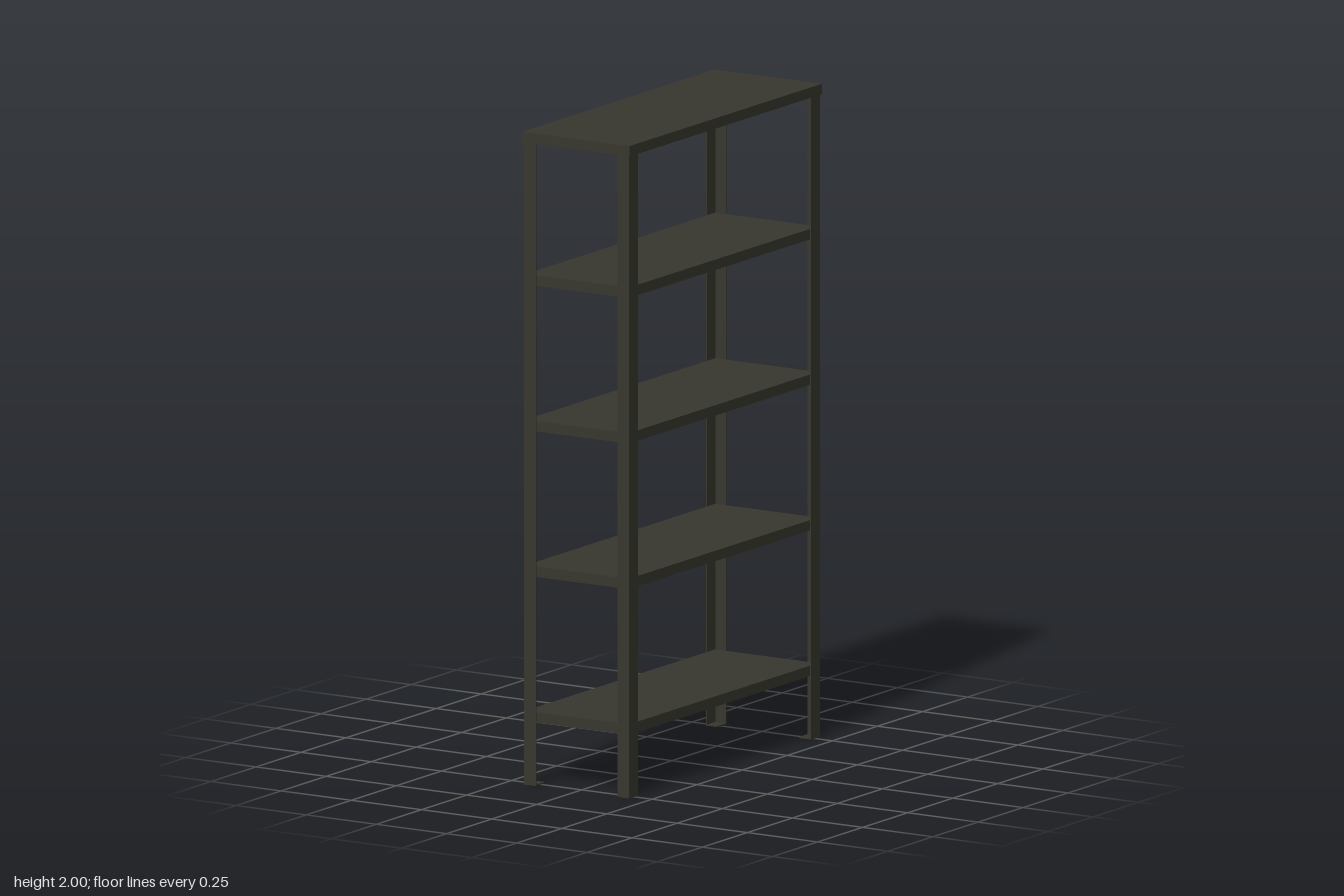
import * as THREE from 'three';

const HX = 0.187, HZ = 0.529; // outer half extents of the posts
const T = 0.004; // sheet thickness
const LEG_X = 0.042, LEG_Z = 0.05; // flange widths of the angle posts

export function createModel() {
  const model = new THREE.Group();
  model.name = 'shelvingUnit';
  const steel = new THREE.MeshStandardMaterial({ color: 0x38372e });
  steel.name = 'dark grey steel';

  const box = (parent, name, w, h, d, x, y, z) => {
    const mesh = new THREE.Mesh(new THREE.BoxGeometry(w, h, d), steel);
    mesh.name = name;
    mesh.position.set(x, y, z);
    parent.add(mesh);
  };

  // Angle-iron corner posts with thin foot plates
  const postTop = 1.994;
  for (const sx of [-1, 1]) {
    for (const sz of [-1, 1]) {
      const post = new THREE.Group();
      post.name = `${sz > 0 ? 'front' : 'back'}${sx > 0 ? 'Left' : 'Right'}Post`;
      box(post, 'endFlange', LEG_X, postTop, T, sx * (HX - LEG_X / 2), postTop / 2, sz * (HZ - T / 2));
      box(post, 'sideFlange', T, postTop, LEG_Z - T, sx * (HX - T / 2), postTop / 2, sz * (HZ - T - (LEG_Z - T) / 2));
      box(post, 'footPlate', LEG_X - T, T, LEG_Z - T,
        sx * (HX - T - (LEG_X - T) / 2), T / 2, sz * (HZ - T - (LEG_Z - T) / 2));
      model.add(post);
    }
  }

  // Shelf pan: a flat sheet with a lip folded down on all four edges
  const addShelf = (name, hx, hz, top, lip) => {
    const shelf = new THREE.Group();
    shelf.name = name;
    box(shelf, 'sheet', 2 * hx, T, 2 * hz, 0, top - T / 2, 0);
    const h = lip - T, y = top - T - h / 2;
    for (const s of [-1, 1]) {
      box(shelf, 'sideLip', T, h, 2 * hz, s * (hx - T / 2), y, 0);
      box(shelf, 'endLip', 2 * (hx - T), h, T, 0, y, s * (hz - T / 2));
    }
    model.add(shelf);
  };

  // Four shelves held inside the posts, and a cap shelf that wraps around them
  for (let i = 0; i < 4; i++) {
    addShelf(`shelf${i + 1}`, HX - T, HZ - T, 0.226 + i * 0.446, 0.032);
  }
  addShelf('topShelf', HX + T, HZ + T + 0.001, 2, 0.032);

  return model;
}
